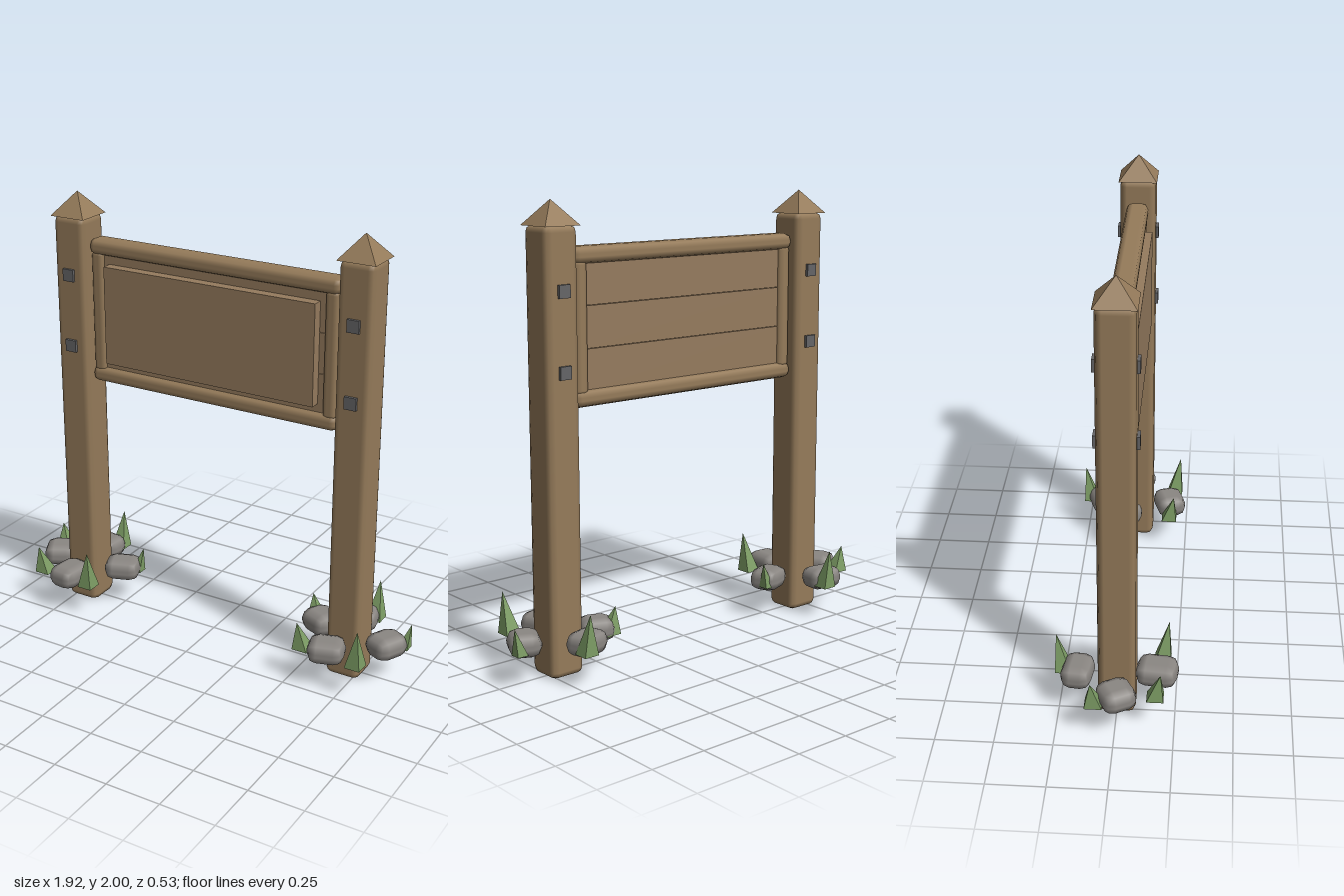
import * as THREE from 'three';
import { RoundedBoxGeometry } from 'three/addons/geometries/RoundedBoxGeometry.js';

const mat = (name, color) => {
  const m = new THREE.MeshStandardMaterial({ color });
  m.name = name;
  return m;
};

export function createModel() {
  const wood = mat('wood', 0x957b5a);
  const board = mat('boardWood', 0x957b5e);
  const iron = mat('iron', 0x656567);
  const stone = mat('stone', 0x8b8783);
  const grass = mat('grass', 0x7c9c64);

  const model = new THREE.Group();
  model.name = 'signboard';

  const add = (parent, name, geometry, material, x, y, z) => {
    const mesh = new THREE.Mesh(geometry, material);
    mesh.name = name;
    mesh.position.set(x, y, z);
    parent.add(mesh);
    return mesh;
  };
  const rounded = (w, h, d, r, seg = 1) => new RoundedBoxGeometry(w, h, d, seg, r);

  // Square pyramid with its base at y = 0 and an offset tip
  const pyramid = (width, height, dx = 0, dz = 0) => {
    const g = new THREE.ConeGeometry(width / Math.SQRT2, height, 4, 1).toNonIndexed();
    g.rotateY(Math.PI / 4);
    g.translate(0, height / 2, 0);
    const p = g.attributes.position;
    for (let i = 0; i < p.count; i++) {
      const t = p.getY(i) / height;
      p.setX(i, p.getX(i) + dx * t);
      p.setZ(i, p.getZ(i) + dz * t);
    }
    g.computeVertexNormals();
    return g;
  };

  // Stones: x offset from post, z, width, depth, turn
  const stones = {
    left: [
      [0, 0.17, 0.145, 0.18, -0.12],
      [-0.175, 0.005, 0.15, 0.155, 0.5],
      [-0.022, -0.17, 0.17, 0.135, -0.12],
      [0.18, -0.015, 0.17, 0.14, 0.35]
    ],
    right: [
      [-0.033, 0.165, 0.165, 0.145, 0.3],
      [0.175, -0.005, 0.14, 0.165, -0.45],
      [-0.028, -0.17, 0.165, 0.135, 0.3],
      [-0.165, -0.05, 0.155, 0.145, -0.4]
    ]
  };
  // Grass blades: x offset from post, z, base width, tip height
  const blades = [
    [-0.205, -0.088, 0.075, 0.27],
    [0.02, -0.235, 0.07, 0.33],
    [-0.147, 0.168, 0.072, 0.28],
    [0.118, 0.19, 0.072, 0.335],
    [0.235, -0.062, 0.05, 0.27]
  ];

  for (const side of [-1, 1]) {
    const label = side < 0 ? 'right' : 'left';
    const post = new THREE.Group();
    post.name = label + 'Post';
    post.position.x = side * 0.7;
    model.add(post);

    add(post, 'postShaft', rounded(0.162, 1.9, 0.162, 0.03), wood, 0, 0.95, 0);
    add(post, 'postCap', pyramid(0.174, 0.105), wood, 0, 1.895, 0);

    // Bolt plates on both faces
    for (const y of [1.305, 1.636]) {
      for (const z of [-0.084, 0.084]) {
        add(post, 'bolt', new THREE.BoxGeometry(0.055, 0.055, 0.02), iron, 0, y, z);
      }
    }

    // Stones and grass around the foot
    for (const [x, z, w, d, turn] of stones[side < 0 ? 'left' : 'right']) {
      add(post, 'stone', rounded(w, 0.105, d, 0.045), stone, x, 0.175, z).rotation.y = turn;
    }
    for (const [x, z, w, top] of blades) {
      const k = 0.03 / Math.hypot(x, z);
      add(post, 'grassBlade', pyramid(w, top - 0.15, x * k, z * k), grass, x, 0.15, z);
    }
  }

  // Frame: two rails and two stiles
  const frame = new THREE.Group();
  frame.name = 'frame';
  model.add(frame);
  add(frame, 'topRail', rounded(1.236, 0.074, 0.1, 0.03), wood, 0, 1.77, 0);
  add(frame, 'bottomRail', rounded(1.236, 0.074, 0.1, 0.03), wood, 0, 1.175, 0);
  for (const side of [-1, 1]) {
    add(frame, 'stile', rounded(0.066, 0.57, 0.09, 0.025), wood, side * 0.578, 1.471, 0);
  }

  // Three backing planks and the raised front panel
  for (let i = 0; i < 3; i++) {
    add(frame, 'plank', new THREE.BoxGeometry(1.13, 0.178, 0.05), board, 0, 1.292 + i * 0.18, 0);
  }
  add(frame, 'signPanel', new THREE.BoxGeometry(1.04, 0.45, 0.05), board, 0, 1.472, 0.048);

  return model;
}
